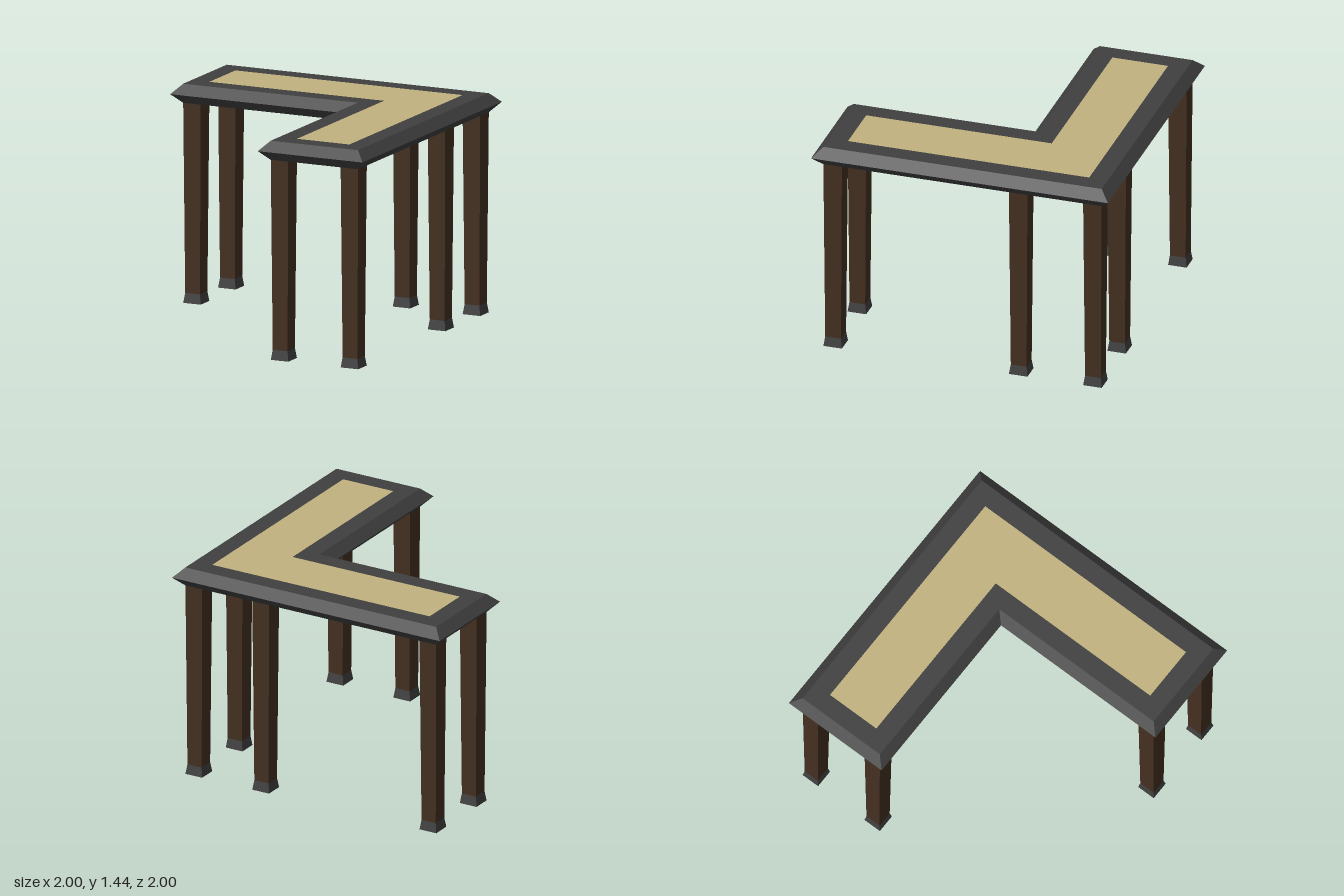
import * as THREE from 'three';

const TOP = 1.4375, BOTTOM = 1.3125, LEG = 0.0625;

// L-shaped outline: x, z, then the inward direction of each mitred corner
const CORNERS = [
  [-1, -1, 1, 1], [1, -1, -1, 1], [1, 1, -1, -1],
  [0.25, 1, 1, -1], [0.25, -0.25, 1, -1], [-1, -0.25, 1, -1],
];
const outline = (inset) => CORNERS.map(([x, z, sx, sz]) => [x + sx * inset, z + sz * inset]);

const material = (color) => new THREE.MeshStandardMaterial({ color, flatShading: true });

// Rim cross-section (inset, y) swept round the outline with mitred corners
function rimGeometry() {
  const section = [[0.1875, TOP], [0.0625, TOP], [0, (TOP + BOTTOM) / 2], [0.0625, BOTTOM], [0.1875, BOTTOM]];
  const rings = section.map(([inset, y]) => outline(inset).map(([x, z]) => [x, y, z]));
  const positions = [];
  for (let i = 0; i < rings.length - 1; i++) {
    for (let j = 0; j < CORNERS.length; j++) {
      const k = (j + 1) % CORNERS.length;
      const a = rings[i][j], b = rings[i][k], c = rings[i + 1][k], d = rings[i + 1][j];
      positions.push(...a, ...b, ...c, ...a, ...c, ...d);
    }
  }
  const geometry = new THREE.BufferGeometry();
  geometry.setAttribute('position', new THREE.Float32BufferAttribute(positions, 3));
  geometry.computeVertexNormals();
  return geometry;
}

// Inlaid slab filling the rim, visible from above and below
function panelGeometry() {
  const shape = new THREE.Shape(outline(0.1875).map(([x, z]) => new THREE.Vector2(x, -z)));
  return new THREE.ExtrudeGeometry(shape, { depth: TOP - BOTTOM, bevelEnabled: false })
    .rotateX(-Math.PI / 2).translate(0, BOTTOM, 0);
}

// Square tapered post from y0 to y1, given half-widths at top and bottom
function post(halfTop, halfBottom, y0, y1) {
  return new THREE.CylinderGeometry(halfTop * Math.SQRT2, halfBottom * Math.SQRT2, y1 - y0, 4)
    .rotateY(Math.PI / 4).translate(0, (y0 + y1) / 2, 0);
}

export function createModel() {
  const model = new THREE.Group();
  model.name = 'cornerTable';
  const dark = material(0x3f3f3f), wood = material(0x432f20), sand = material(0xc2b280);

  const add = (parent, name, geometry, mat) => {
    const mesh = new THREE.Mesh(geometry, mat);
    mesh.name = name;
    parent.add(mesh);
  };
  add(model, 'tabletopRim', rimGeometry(), dark);
  add(model, 'tabletopPanel', panelGeometry(), sand);

  // Legs at the arm ends, the outer corner and along the two outer sides
  const legGeometry = post(LEG, 0.053, 0.065, BOTTOM);
  const footGeometry = post(0.053, LEG, 0, 0.065);
  const spots = [
    [-0.875, -0.875], [-0.875, -0.375], [0.375, -0.875], [0.875, -0.875],
    [0.875, -0.375], [0.875, 0.875], [0.375, 0.875],
  ];
  for (const [x, z] of spots) {
    const leg = new THREE.Group();
    leg.name = 'leg';
    leg.position.set(x, 0, z);
    add(leg, 'legPost', legGeometry, wood);
    add(leg, 'legFoot', footGeometry, dark);
    model.add(leg);
  }
  return model;
}
